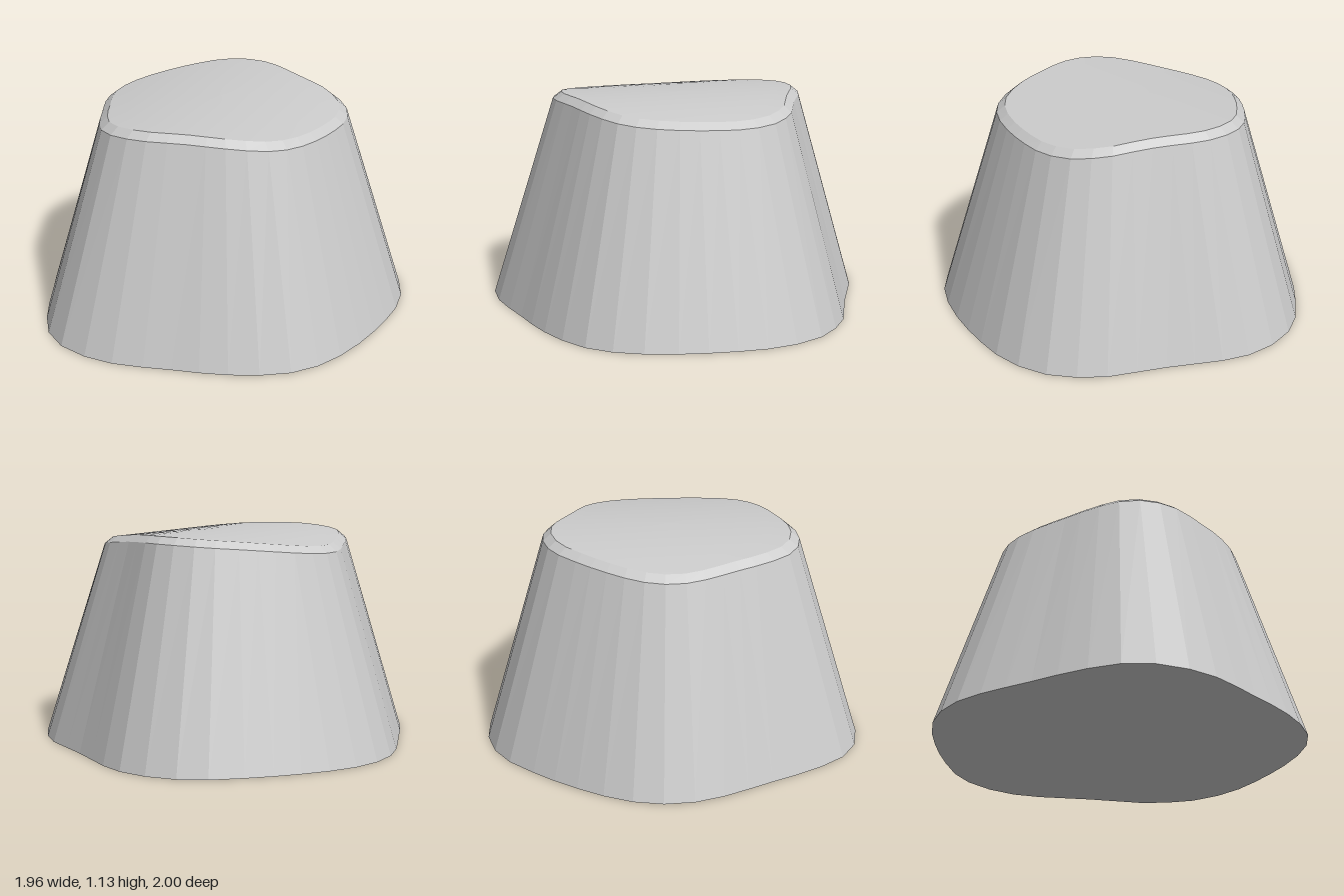
import * as THREE from 'three';

// Rounded five-lobed footprint as [x, z], clockwise seen from above
const outline = [
  [-0.16, -1], [0, -0.99], [0.14, -0.94], [0.27, -0.87], [0.4, -0.8], [0.54, -0.735],
  [0.68, -0.67], [0.8, -0.575], [0.9, -0.455], [0.96, -0.3], [0.98, -0.14], [0.97, 0.01],
  [0.95, 0.155], [0.92, 0.3], [0.87, 0.46], [0.8, 0.6], [0.7, 0.715], [0.565, 0.8],
  [0.42, 0.86], [0.28, 0.9], [0.14, 0.93], [0, 0.965], [-0.16, 0.995], [-0.32, 0.99],
  [-0.48, 0.945], [-0.61, 0.85], [-0.7, 0.715], [-0.77, 0.57], [-0.825, 0.435],
  [-0.885, 0.3], [-0.94, 0.165], [-0.98, 0.015], [-0.98, -0.14], [-0.94, -0.29],
  [-0.865, -0.43], [-0.775, -0.555], [-0.685, -0.665], [-0.585, -0.77],
  [-0.455, -0.89], [-0.32, -0.965],
];

const TOP = 0.623, SHOULDER = 0.667;
const arch = (x) => 1.127 - 0.155 * x * x; // crown falls away towards both sides

// Joins scaled copies of the outline; each ring is [scale, height(x)]
function loft(name, rings, flatShading) {
  const n = outline.length, pos = [], index = [];
  for (const [s, height] of rings)
    for (const [x, z] of outline) pos.push(x * s, height(x * s), z * s);
  for (let r = 0; r < rings.length - 1; r++) {
    for (let i = 0; i < n; i++) {
      const j = (i + 1) % n;
      const a = r * n + i, b = r * n + j, c = a + n, d = b + n;
      if (rings[r][0] > 0) index.push(b, a, c);
      if (rings[r + 1][0] > 0) index.push(b, c, d);
      else if (rings[r][0] === 0) continue;
    }
  }
  const geo = new THREE.BufferGeometry();
  geo.setAttribute('position', new THREE.Float32BufferAttribute(pos, 3));
  geo.setIndex(index);
  geo.computeVertexNormals();
  const mesh = new THREE.Mesh(geo, new THREE.MeshStandardMaterial({ color: 0xcccccc, flatShading }));
  mesh.name = name;
  return mesh;
}

export function createModel() {
  const group = new THREE.Group();
  group.name = 'taperedBlock';
  const ground = () => 0;
  const shoulder = (x) => arch(x * TOP / SHOULDER) - 0.035;

  // Flat underside
  group.add(loft('underside', [[0, ground], [1, ground]], true));
  // Faceted sloping wall
  group.add(loft('wall', [[1, ground], [SHOULDER, shoulder]], true));
  // Narrow bevel around the top
  group.add(loft('bevel', [[SHOULDER, shoulder], [TOP, arch]], true));
  // Gently arched top
  const crown = [];
  for (let k = 6; k >= 0; k--) crown.push([TOP * k / 6, arch]);
  group.add(loft('top', crown, false));
  return group;
}
